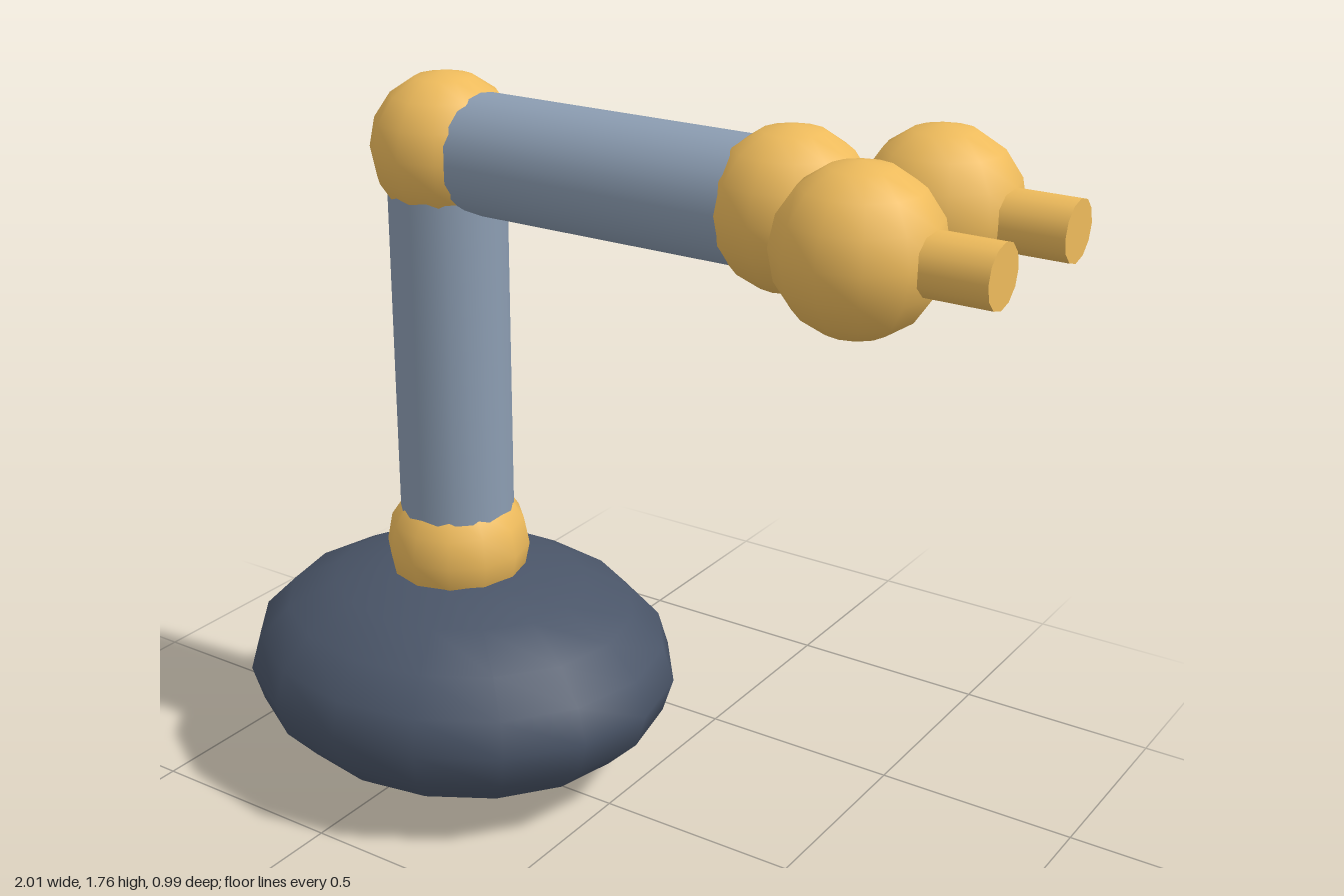
import * as THREE from 'three';

const dark = new THREE.MeshStandardMaterial({ color: 0x4a5568 });
const steel = new THREE.MeshStandardMaterial({ color: 0x8c9db2 });
const amber = new THREE.MeshStandardMaterial({ color: 0xeebb5c });

export function createModel() {
  const group = new THREE.Group();
  const jointY = 1.588, armX = 0.45, fingerX = 0.7, fingerZ = 0.178;

  const add = (name, geometry, material, x, y, z = 0) => {
    const mesh = new THREE.Mesh(geometry, material);
    mesh.name = name;
    mesh.position.set(x, y, z);
    group.add(mesh);
    return mesh;
  };
  const ball = (name, x, y, z) =>
    add(name, new THREE.SphereGeometry(0.176, 12, 8), amber, x, y, z);
  // cylinder lying along x, starting at x0
  const rod = (name, radius, x0, length, sides, material, z) => {
    const geometry = new THREE.CylinderGeometry(radius, radius, length, sides).rotateZ(-Math.PI / 2);
    return add(name, geometry, material, x0 + length / 2, jointY, z);
  };

  // squashed base
  add('base', new THREE.SphereGeometry(1, 16, 10).scale(0.555, 0.279, 0.495), dark, -armX, 0.279);

  // upright with its shoulder and elbow joints
  ball('shoulderJoint', -armX, 0.6);
  add('lowerArm', new THREE.CylinderGeometry(0.138, 0.138, jointY - 0.6, 20), steel, -armX, (jointY + 0.6) / 2);
  ball('elbowJoint', -armX, jointY);

  // horizontal arm, wrist and central stub
  rod('upperArm', 0.138, -armX, 2 * armX, 20, steel);
  ball('wristJoint', armX, jointY);
  rod('wristStub', 0.067, armX, 0.29, 12, amber);

  // pair of gripper fingers
  for (const side of [1, -1]) {
    ball('fingerJoint', fingerX, jointY, side * fingerZ);
    rod('fingerTip', 0.067, fingerX, 0.3, 12, amber, side * fingerZ);
  }
  return group;
}
